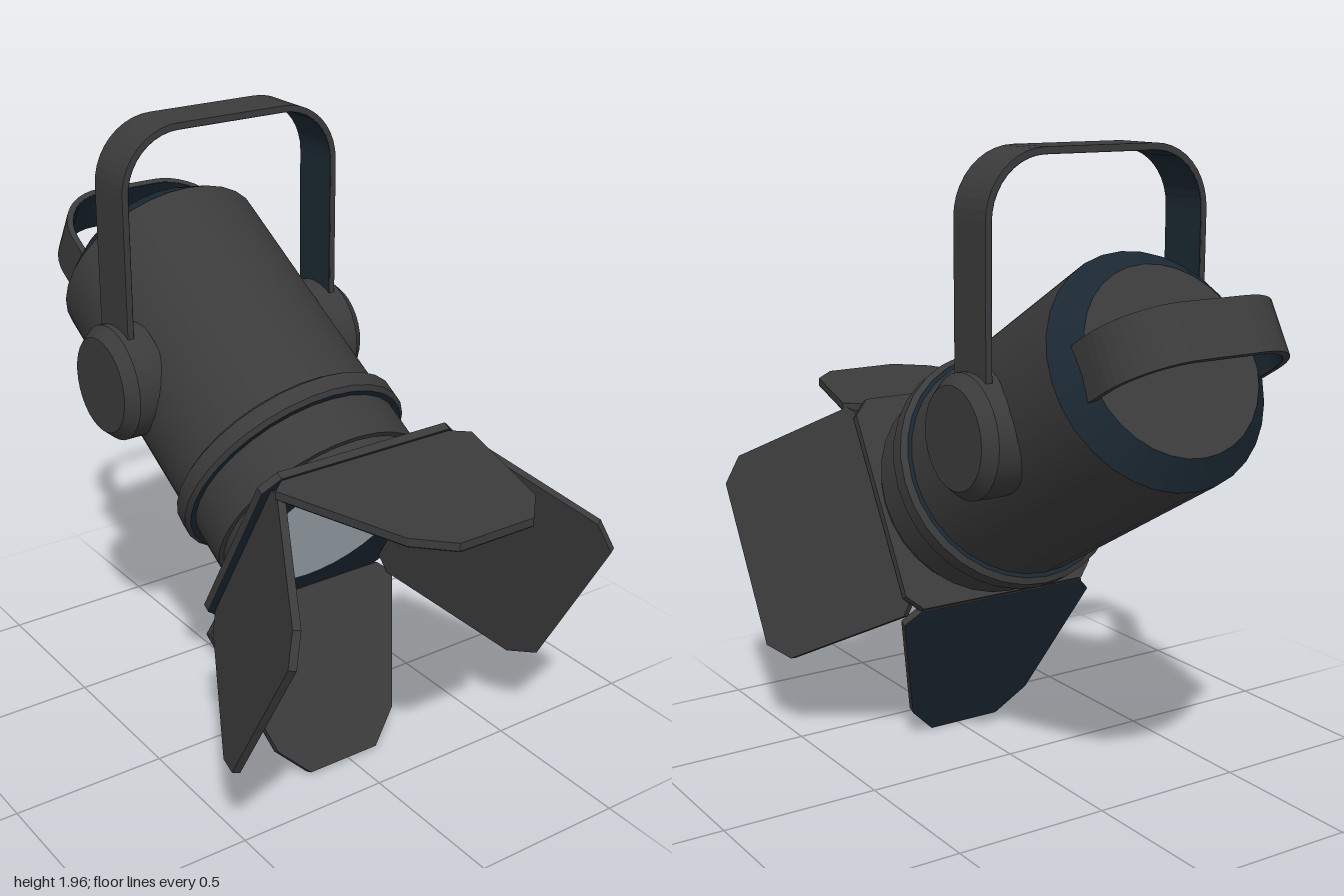
import * as THREE from 'three';

const grey = new THREE.MeshStandardMaterial({ name: 'dark grey', color: 0x3b3b3b });
const navy = new THREE.MeshStandardMaterial({ name: 'dark navy', color: 0x1b2832, side: THREE.DoubleSide });
const glass = new THREE.MeshStandardMaterial({ name: 'pale glass', color: 0xc0cbd3 });

function add(parent, name, geometry, material) {
  const mesh = new THREE.Mesh(geometry, material);
  mesh.name = name;
  parent.add(mesh);
  return mesh;
}

// Drum along z from z0 to z1
function drum(z0, z1, r0, r1, open = false) {
  return new THREE.CylinderGeometry(r1, r0, z1 - z0, 32, 1, open)
    .rotateX(Math.PI / 2).translate(0, 0, (z0 + z1) / 2);
}

// Closed shape mirrored across x, from its right-hand points
function mirrored(half) {
  const left = half.map(([x, y]) => [-x, y]).reverse();
  return new THREE.Shape([...half, ...left].map(([x, y]) => new THREE.Vector2(x, y)));
}

// Strap bent into an arch with rounded corners, standing on y = 0
function arch(half, height, radius, thickness, width) {
  const s = new THREE.Shape();
  const cx = half - radius, cy = height - radius, r = radius - thickness;
  s.moveTo(half, 0);
  s.lineTo(half, cy);
  s.absarc(cx, cy, radius, 0, Math.PI / 2, false);
  s.absarc(-cx, cy, radius, Math.PI / 2, Math.PI, false);
  s.lineTo(-half, 0);
  s.lineTo(-half + thickness, 0);
  s.absarc(-cx, cy, r, Math.PI, Math.PI / 2, true);
  s.absarc(cx, cy, r, Math.PI / 2, 0, true);
  s.lineTo(half - thickness, 0);
  return new THREE.ExtrudeGeometry(s, { depth: width, bevelEnabled: false, curveSegments: 5 })
    .translate(0, 0, -width / 2);
}

// Grey strap with a thin dark lining
function strap(name, half, height, radius, width) {
  const g = new THREE.Group();
  g.name = name;
  add(g, name + 'Band', arch(half, height, radius, 0.018, width), grey);
  add(g, name + 'Lining', arch(half - 0.018, height - 0.018, radius - 0.018, 0.003, width - 0.001), navy);
  return g;
}

// Hinged flap: turn places it around the lens, tilt opens it outward
function flap(name, half, turn, tilt, u, a, darkSide = 0) {
  const holder = new THREE.Group();
  holder.name = name;
  holder.rotation.z = turn;
  const hinge = new THREE.Group();
  hinge.position.set(0, u, a);
  hinge.rotation.x = -tilt;
  holder.add(hinge);
  const shape = mirrored(half);
  const t = 0.024;
  add(hinge, name + 'Panel', new THREE.ExtrudeGeometry(shape, { depth: t, bevelEnabled: false })
    .rotateX(Math.PI / 2).translate(0, t / 2, 0), grey);
  if (darkSide) {
    add(hinge, name + 'DarkFace', new THREE.ShapeGeometry(shape)
      .rotateX(Math.PI / 2).translate(0, darkSide * (t / 2 + 0.002), 0), navy);
  }
  return holder;
}

export function createModel() {
  const model = new THREE.Group();
  model.name = 'stageLight';

  // Everything hangs from the pivot between the knobs
  const pivot = new THREE.Group();
  pivot.name = 'pivot';
  pivot.position.set(-0.025, 1.165, -0.34);
  model.add(pivot);

  const lamp = new THREE.Group();
  lamp.name = 'lamp';
  lamp.rotation.x = Math.PI / 6;
  pivot.add(lamp);

  // Housing, rear bevel and lid
  add(lamp, 'housing', drum(-0.41, 0.637, 0.352, 0.352), grey);
  add(lamp, 'rearBevel', drum(-0.484, -0.41, 0.28, 0.352, true), navy);
  add(lamp, 'rearLid', new THREE.CircleGeometry(0.28, 32).rotateY(Math.PI).translate(0, 0, -0.484), grey);
  add(lamp, 'neck', drum(0.63, 0.68, 0.335, 0.335), grey);

  // Collar with grey bevelled rims and dark end faces
  add(lamp, 'collar', drum(0.427, 0.478, 0.383, 0.383, true), grey);
  add(lamp, 'collarRearRim', drum(0.413, 0.427, 0.365, 0.383), [grey, grey, navy]);
  add(lamp, 'collarFrontRim', drum(0.478, 0.490, 0.383, 0.369), [grey, navy, grey]);

  // Square lens frame with its dark face and the lens
  const frame = mirrored([[0.30, -0.35], [0.35, -0.30], [0.35, 0.30], [0.30, 0.35]]);
  add(lamp, 'lensFrame', new THREE.ExtrudeGeometry(frame, { depth: 0.025, bevelEnabled: false })
    .translate(0, 0, 0.672), grey);
  add(lamp, 'lensFrameFace', new THREE.ShapeGeometry(frame).translate(0, 0, 0.699), navy);
  add(lamp, 'lens', new THREE.CircleGeometry(0.27, 32).translate(0, 0, 0.702), glass);

  // Four barn door flaps
  const tapered = [[0.30, 0], [0.35, 0.045], [0.222, 0.465], [0.127, 0.564]];
  const wide = (len) => [[0.30, 0], [0.35, 0.05], [0.35, len - 0.08], [0.28, len]];
  lamp.add(flap('topFlap', tapered, 0, Math.PI / 6, 0.334, 0.705, -1));
  lamp.add(flap('bottomFlap', tapered, Math.PI, 0.605, 0.344, 0.701, 1));
  lamp.add(flap('rightFlap', wide(0.57), Math.PI / 2, 0.435, 0.308, 0.697));
  lamp.add(flap('leftFlap', wide(0.59), -Math.PI / 2, 0.515, 0.308, 0.697));

  // Rear carrying handle
  const handle = strap('handle', 0.295, 0.256, 0.19, 0.16);
  handle.rotation.x = -Math.PI / 2;
  handle.position.z = -0.46;
  lamp.add(handle);

  // Hanging yoke
  pivot.add(strap('yoke', 0.382, 0.795, 0.195, 0.164));

  // Side knobs with bevelled rims
  for (const side of [1, -1]) {
    const knob = new THREE.Group();
    knob.name = side > 0 ? 'leftKnob' : 'rightKnob';
    knob.rotation.y = side * Math.PI / 2;
    add(knob, 'knobBase', drum(0.305, 0.403, 0.182, 0.182), grey);
    add(knob, 'knobBevel', drum(0.403, 0.44, 0.182, 0.15), grey);
    pivot.add(knob);
  }
  return model;
}
